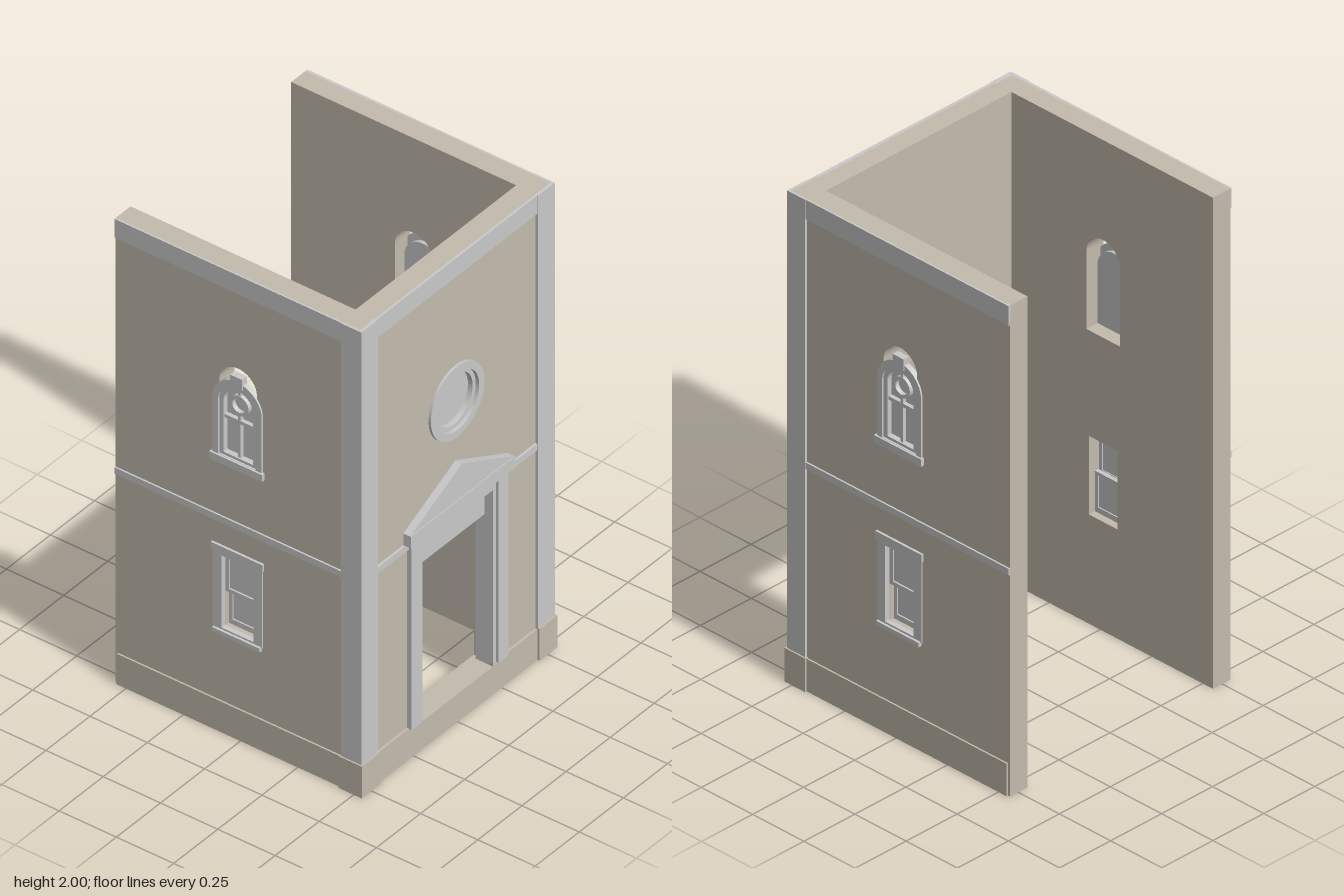
import * as THREE from 'three';

const stone = new THREE.MeshStandardMaterial({ color: 0xc4bbad });
stone.name = 'beige stone';
const trim = new THREE.MeshStandardMaterial({ color: 0xcacaca });
trim.name = 'pale grey trim';

function add(parent, geometry, material, name) {
  const mesh = new THREE.Mesh(geometry, material);
  mesh.name = name;
  parent.add(mesh);
  return mesh;
}

// Box given by its min and max on each axis
function box(parent, name, material, x0, x1, y0, y1, z0, z1) {
  const mesh = add(parent, new THREE.BoxGeometry(x1 - x0, y1 - y0, z1 - z0), material, name);
  mesh.position.set((x0 + x1) / 2, (y0 + y1) / 2, (z0 + z1) / 2);
  return mesh;
}

// Plate of a shape between two depths
function plate(parent, name, material, shape, z0, z1) {
  const geometry = new THREE.ExtrudeGeometry(shape, { depth: z1 - z0, bevelEnabled: false, curveSegments: 24 });
  const mesh = add(parent, geometry, material, name);
  mesh.position.z = z0;
  return mesh;
}

function rect(x0, x1, y0, y1) {
  return new THREE.Shape([[x0, y0], [x1, y0], [x1, y1], [x0, y1]].map(p => new THREE.Vector2(...p)));
}

function disc(r, y) {
  const s = new THREE.Shape();
  s.absarc(0, y, r, 0, Math.PI * 2, false);
  return s;
}

// Upright outline with a round top
function arch(r, y0, spring) {
  const s = new THREE.Shape();
  s.moveTo(-r, y0);
  s.lineTo(r, y0);
  s.lineTo(r, spring);
  s.absarc(0, spring, r, 0, Math.PI, false);
  s.closePath();
  return s;
}

function withHoles(shape, ...holes) {
  shape.holes.push(...holes);
  return shape;
}

function archedWindow() {
  const g = new THREE.Group();
  g.name = 'archedWindow';
  const spring = 1.43, y0 = 1.195;
  plate(g, 'archSurround', trim, withHoles(arch(0.108, y0, spring), arch(0.082, y0 + 0.001, spring)), -0.015, 0.007);
  plate(g, 'archFrame', trim, withHoles(arch(0.083, y0, spring), arch(0.064, y0 + 0.012, spring)), -0.03, 0);
  plate(g, 'archGlass', trim, arch(0.07, y0, spring), -0.03, -0.022);
  box(g, 'mullion', trim, -0.006, 0.006, y0, 1.392, -0.025, -0.006);
  box(g, 'topMullion', trim, -0.006, 0.006, 1.465, 1.495, -0.025, -0.006);
  box(g, 'crossbar', trim, -0.066, 0.066, 1.352, 1.366, -0.025, -0.006);
  plate(g, 'roundTracery', trim, withHoles(disc(0.042, spring), disc(0.029, spring)), -0.025, -0.004);
  box(g, 'keystone', trim, -0.026, 0.026, 1.515, 1.563, -0.015, 0.012);
  box(g, 'archSill', trim, -0.115, 0.115, 1.165, 1.195, -0.02, 0.015);
  return g;
}

function sashWindow() {
  const g = new THREE.Group();
  g.name = 'sashWindow';
  plate(g, 'sashSurround', trim, withHoles(rect(-0.108, 0.108, 0.44, 0.772), rect(-0.07, 0.07, 0.45, 0.76)), -0.015, 0.005);
  box(g, 'sashHeader', trim, -0.113, 0.113, 0.772, 0.803, -0.01, 0.01);
  box(g, 'sashSill', trim, -0.104, 0.104, 0.425, 0.443, -0.02, 0.015);
  plate(g, 'upperSash', trim, withHoles(rect(-0.07, 0.07, 0.595, 0.762), rect(-0.055, 0.055, 0.61, 0.747)), -0.035, -0.018);
  plate(g, 'lowerSash', trim, withHoles(rect(-0.07, 0.07, 0.445, 0.61), rect(-0.055, 0.055, 0.467, 0.597)), -0.055, -0.038);
  box(g, 'upperGlass', trim, -0.06, 0.06, 0.6, 0.755, -0.031, -0.025);
  box(g, 'lowerGlass', trim, -0.06, 0.06, 0.45, 0.602, -0.05, -0.044);
  return g;
}

// Side wall: local z points outward, local origin lies on the window axis
function sideWall(s) {
  const g = new THREE.Group();
  g.name = s > 0 ? 'leftWall' : 'rightWall';
  g.position.set(s * 0.54, 0, -0.015);
  g.rotation.y = s * Math.PI / 2;
  const span = (z0, z1) => [-s * (z0 + 0.015), -s * (z1 + 0.015)].sort((a, b) => a - b);
  const wall = withHoles(rect(...span(-0.55, 0.432), 0, 2), arch(0.082, 1.195, 1.511), rect(-0.07, 0.07, 0.445, 0.765));
  plate(g, 'sideWallPanel', stone, wall, -0.085, 0);
  box(g, 'sideTopBand', trim, ...span(-0.55, 0.44), 1.92, 2, -0.004, 0.007);
  box(g, 'sideBelt', trim, ...span(-0.55, 0.44), 0.903, 0.93, -0.004, 0.007);
  box(g, 'sideBase', stone, ...span(-0.54, 0.44), 0, 0.132, -0.004, 0.007);
  g.add(archedWindow(), sashWindow());
  return g;
}

export function createModel() {
  const model = new THREE.Group();
  model.name = 'buildingShell';

  // Front wall with doorway and round window
  const front = withHoles(rect(-0.54, 0.54, 0, 2), rect(-0.215, 0.215, 0.12, 0.9), disc(0.125, 1.38));
  plate(model, 'frontWall', stone, front, 0.432, 0.517);
  box(model, 'frontTopBand', trim, -0.46, 0.46, 1.92, 2, 0.51, 0.526);
  box(model, 'frontBase', stone, -0.46, 0.46, 0, 0.12, 0.51, 0.527);

  // Side walls, corner pilasters and everything paired
  for (const s of [-1, 1]) {
    const pair = (name, mat, x0, x1, ...yz) =>
      box(model, name, mat, Math.min(s * x0, s * x1), Math.max(s * x0, s * x1), ...yz);
    model.add(sideWall(s));
    pair('cornerPilasterFront', trim, 0.453, 0.549, 0.137, 2, 0.51, 0.529);
    pair('cornerPilasterSide', trim, 0.535, 0.549, 0.137, 2, 0.44, 0.51);
    pair('cornerBaseFront', stone, 0.453, 0.555, 0, 0.137, 0.51, 0.536);
    pair('cornerBaseSide', stone, 0.535, 0.555, 0, 0.137, 0.435, 0.51);
    pair('frontBelt', trim, 0.27, 0.46, 0.903, 0.93, 0.51, 0.526);
    pair('frontBaseCap', stone, 0.2, 0.46, 0.12, 0.132, 0.51, 0.527);
    pair('doorPilaster', trim, 0.218, 0.275, 0.13, 0.93, 0.51, 0.538);
    pair('doorJamb', trim, 0.2, 0.22, 0.12, 0.93, 0.45, 0.527);
  }

  // Door head
  box(model, 'doorHeader', trim, -0.2, 0.2, 0.88, 0.93, 0.45, 0.527);
  box(model, 'doorTransom', trim, -0.2, 0.2, 0.76, 0.88, 0.455, 0.49);
  box(model, 'pedimentCornice', trim, -0.295, 0.295, 0.93, 0.98, 0.51, 0.55);
  const gable = new THREE.Shape([[-0.295, 0.98], [0.295, 0.98], [0, 1.122]].map(p => new THREE.Vector2(...p)));
  plate(model, 'pedimentGable', trim, gable, 0.51, 0.547);

  // Round window
  plate(model, 'roundOuterRing', trim, withHoles(disc(0.152, 1.38), disc(0.122, 1.38)), 0.5, 0.527);
  plate(model, 'roundInnerRing', trim, withHoles(disc(0.125, 1.38), disc(0.105, 1.38)), 0.48, 0.512);
  plate(model, 'roundGlass', trim, disc(0.11, 1.38), 0.483, 0.491);

  return model;
}
